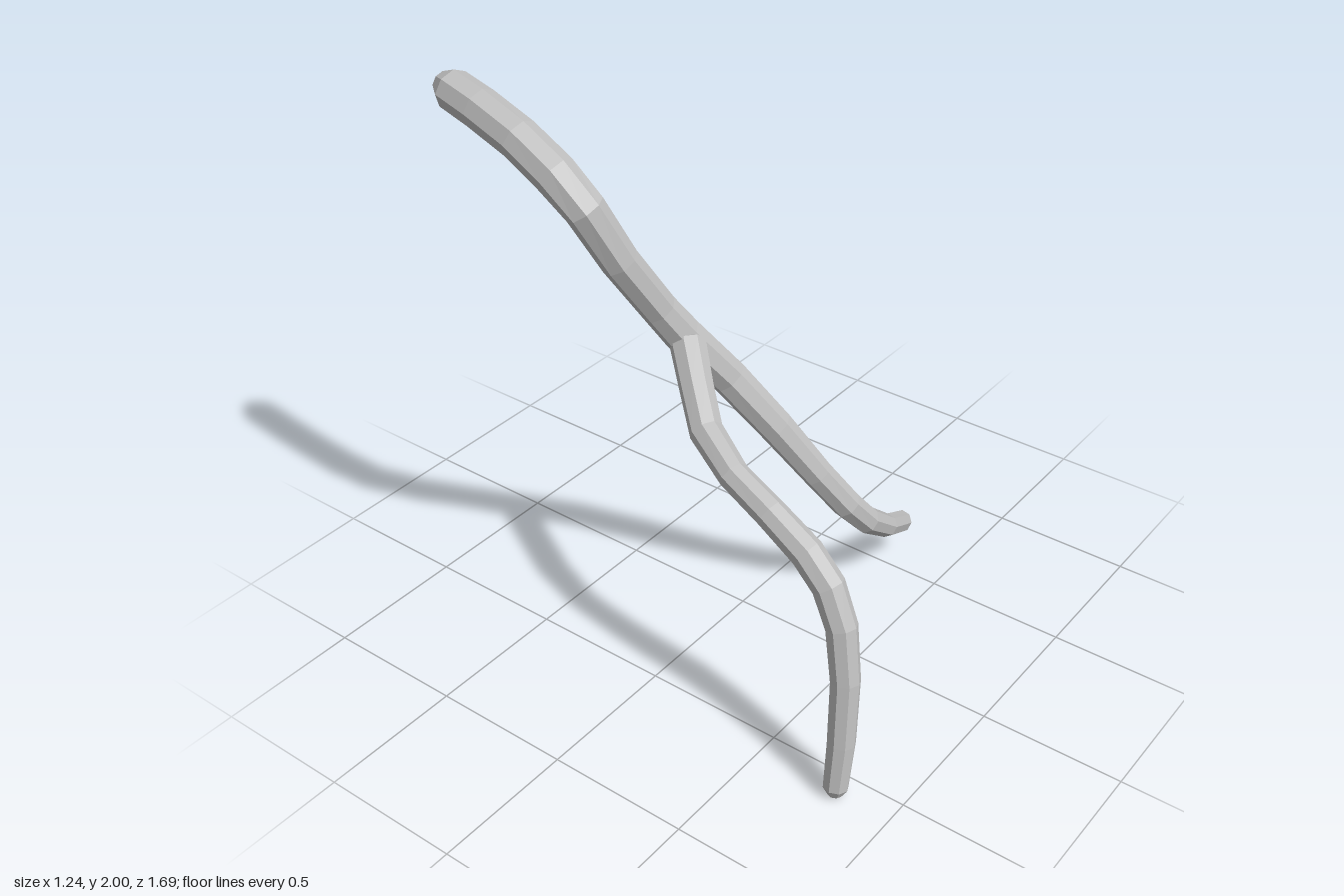
import * as THREE from 'three';

const SIDES = 8;

// Faceted limb swept through nodes [x, y, z, radius], with bevelled ends.
function limb(nodes, startRound, endRound) {
  const pts = nodes.map(n => new THREE.Vector3(n[0], n[1], n[2]));
  const tangents = pts.map((p, i) => pts[Math.min(i + 1, pts.length - 1)].clone()
    .sub(pts[Math.max(i - 1, 0)]).normalize());
  const rings = pts.map((p, i) => ({ p, t: tangents[i], r: nodes[i][3] }));
  const end = (i, sign, round) => {
    const { p, t, r } = rings[i];
    return { p: p.clone().addScaledVector(t, sign * r * round), t, r: r * 0.55 };
  };
  const last = rings.length - 1;
  const all = [end(0, -1, startRound), ...rings, end(last, 1, endRound)];

  // carry one frame along the path so the facets do not twist
  const verts = [];
  const normal = new THREE.Vector3(1, 0, 0);
  for (const { p, t, r } of all) {
    normal.addScaledVector(t, -normal.dot(t)).normalize();
    const side = t.clone().cross(normal);
    for (let j = 0; j < SIDES; j++) {
      const a = (j / SIDES) * Math.PI * 2;
      const v = p.clone().addScaledVector(normal, r * Math.cos(a)).addScaledVector(side, r * Math.sin(a));
      verts.push(v.x, v.y, v.z);
    }
  }
  const index = [];
  for (let i = 0; i < all.length - 1; i++) {
    for (let j = 0; j < SIDES; j++) {
      const k = (j + 1) % SIDES;
      const a = i * SIDES + j, b = i * SIDES + k, c = a + SIDES, d = b + SIDES;
      index.push(a, b, d, a, d, c);
    }
  }
  // end caps
  const top = (all.length - 1) * SIDES;
  for (let j = 1; j < SIDES - 1; j++) {
    index.push(0, j + 1, j, top, top + j, top + j + 1);
  }
  const g = new THREE.BufferGeometry();
  g.setAttribute('position', new THREE.Float32BufferAttribute(verts, 3));
  g.setIndex(index);
  const flat = g.toNonIndexed();
  flat.computeVertexNormals();
  return flat;
}

export function createModel() {
  const group = new THREE.Group();
  group.name = 'forkedBranch';
  const grey = new THREE.MeshStandardMaterial({ color: 0xbfbfbf });
  grey.name = 'light grey';
  grey.flatShading = true;

  // long stem from the upper back end down to the low left end
  const stem = new THREE.Mesh(limb([
    [-0.445, 1.935, -0.79, 0.068],
    [-0.46, 1.91, -0.66, 0.069],
    [-0.475, 1.86, -0.49, 0.069],
    [-0.48, 1.785, -0.345, 0.07],
    [-0.465, 1.69, -0.245, 0.066],
    [-0.385, 1.5, -0.185, 0.062],
    [-0.27, 1.3, -0.13, 0.06],
    [-0.205, 1.19, -0.09, 0.064],
    [-0.08, 1.0, 0.0, 0.063],
    [0.02, 0.8, 0.12, 0.06],
    [0.115, 0.6, 0.23, 0.053],
    [0.2, 0.45, 0.3, 0.052],
    [0.285, 0.345, 0.33, 0.049],
    [0.42, 0.24, 0.33, 0.043],
    [0.585, 0.145, 0.295, 0.041],
  ], 0.75, 0.5), grey);
  stem.name = 'mainStem';

  // side shoot reaching forward and bending down to the ground
  const shoot = new THREE.Mesh(limb([
    [-0.215, 1.17, -0.06, 0.06],
    [-0.3, 1.085, 0.04, 0.056],
    [-0.38, 1.0, 0.14, 0.055],
    [-0.45, 0.94, 0.3, 0.05],
    [-0.475, 0.88, 0.46, 0.051],
    [-0.488, 0.805, 0.605, 0.054],
    [-0.492, 0.72, 0.69, 0.054],
    [-0.505, 0.6, 0.75, 0.052],
    [-0.527, 0.42, 0.785, 0.049],
    [-0.56, 0.2, 0.8, 0.047],
    [-0.588, 0.035, 0.803, 0.042],
  ], 0.3, 0.7), grey);
  shoot.name = 'sideShoot';

  group.add(stem, shoot);
  return group;
}
